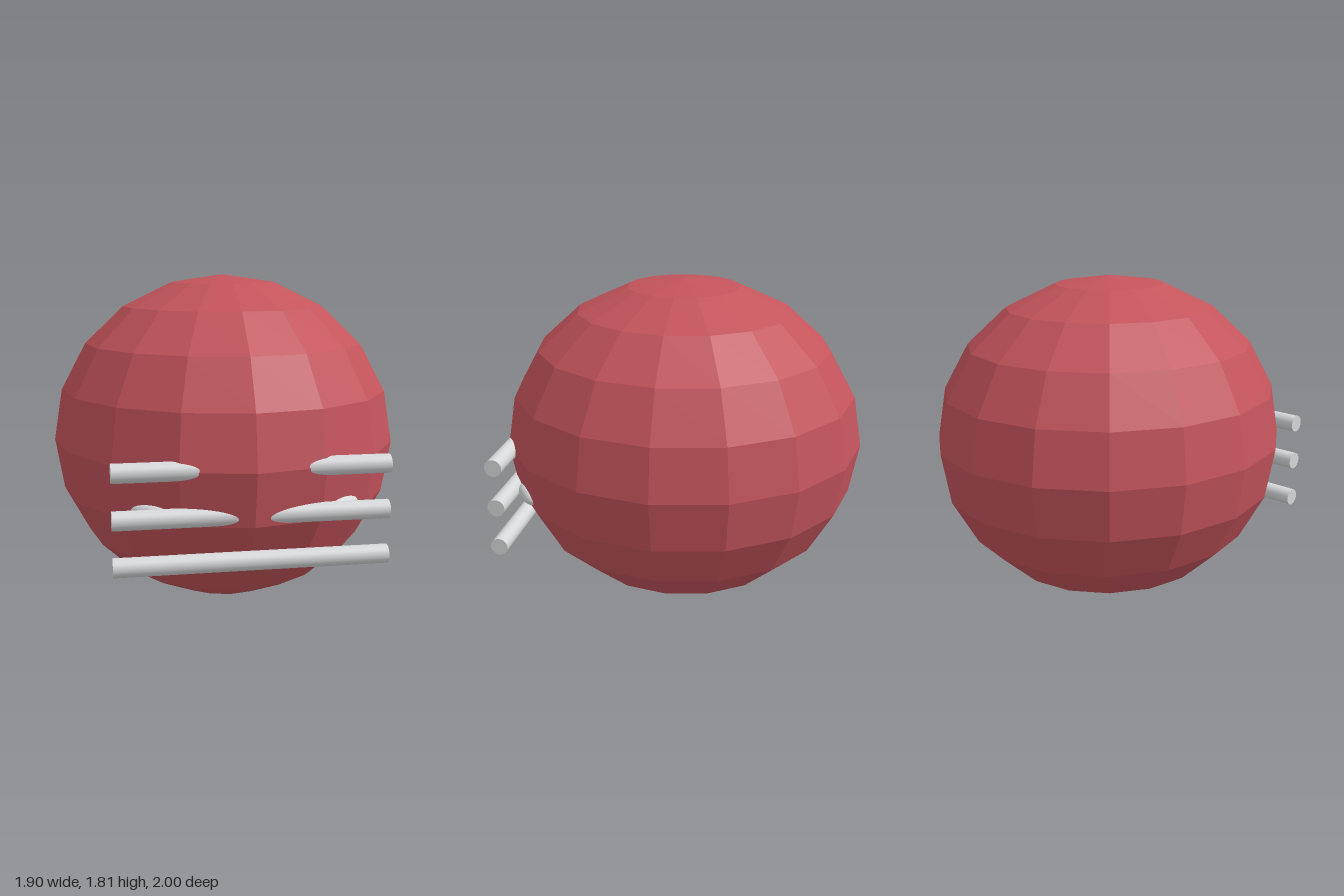
import * as THREE from 'three';

export function createModel() {
  const group = new THREE.Group();
  const red = new THREE.MeshStandardMaterial({ color: 0xc4545c });
  red.name = 'red';
  red.flatShading = true;
  const silver = new THREE.MeshStandardMaterial({ color: 0xd6d7d8 });
  silver.name = 'silver';

  const add = (name, geometry, material, x, y, z) => {
    const mesh = new THREE.Mesh(geometry, material);
    mesh.name = name;
    mesh.position.set(x, y, z);
    group.add(mesh);
    return mesh;
  };

  // Faceted, slightly squashed ball
  const ball = new THREE.SphereGeometry(1, 16, 10).scale(0.95, 0.905, 1);
  add('body', ball, red, 0, 0.905, 0);

  // Three level bars passing through the front of the ball
  const bar = new THREE.CylinderGeometry(0.048, 0.048, 1.37, 32).rotateZ(Math.PI / 2);
  [['upperBar', 0.908], ['middleBar', 0.676], ['lowerBar', 0.443]].forEach(([name, y]) => {
    add(name, bar, silver, 0, y, 0.895);
  });

  // Small rounded studs behind the middle bar, lying along the ball
  const stud = new THREE.SphereGeometry(1, 24, 16).scale(0.12, 0.045, 0.045);
  for (const side of [1, -1]) {
    const mesh = add(side > 0 ? 'leftStud' : 'rightStud', stud, silver, side * 0.48, 0.676, 0.785);
    mesh.rotation.y = side * 0.61;
  }
  return group;
}
